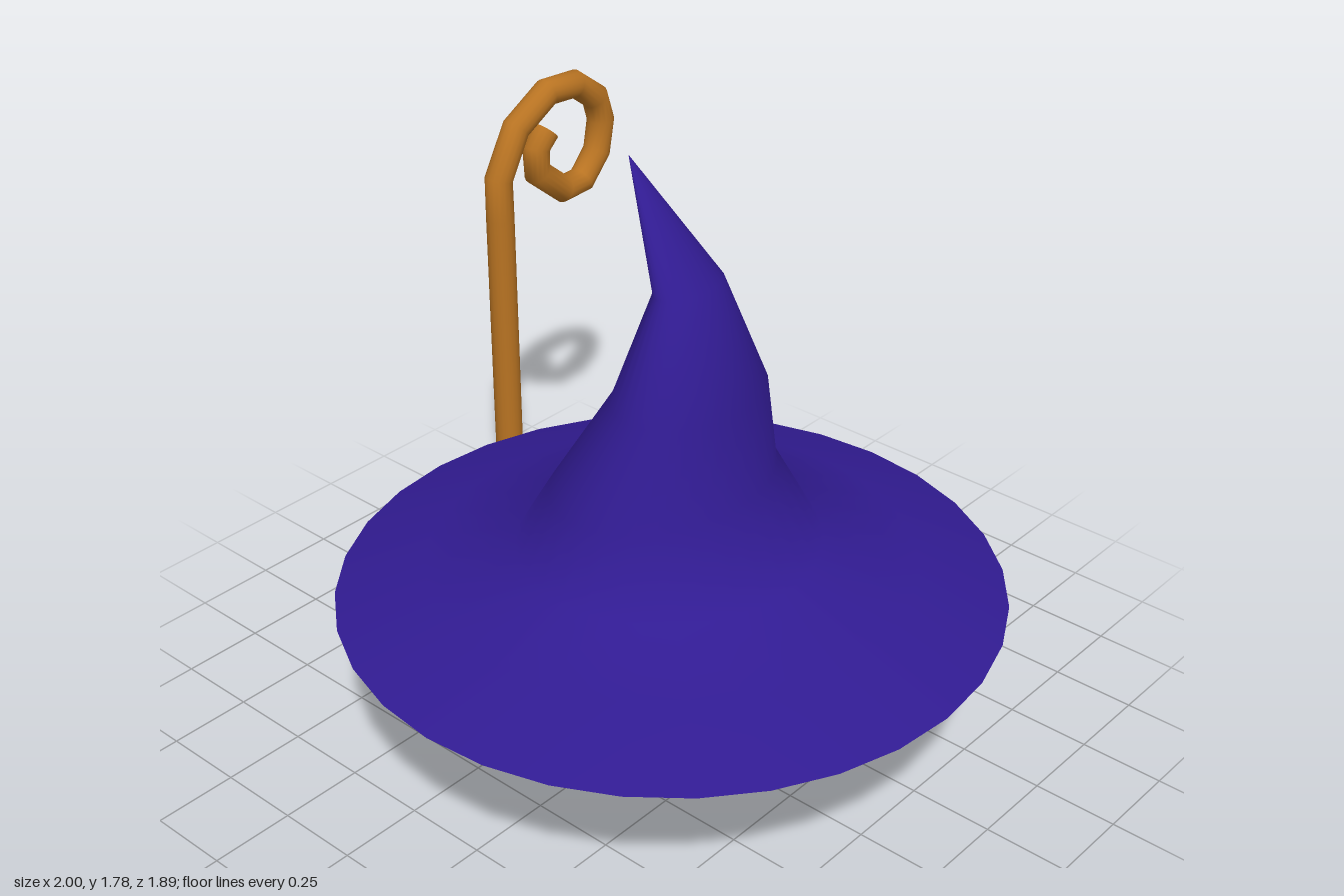
import * as THREE from 'three';

const mat = (color, side = THREE.FrontSide) => new THREE.MeshStandardMaterial({ color, side });
const CX = 0.05; // shared axis of hat and body

function mesh(name, geometry, material, x = 0, y = 0, z = 0) {
  const m = new THREE.Mesh(geometry, material);
  m.name = name;
  m.position.set(x, y, z);
  return m;
}

// Skin of elliptical rings, each [y, centreX, radiusX, radiusZ], lowest first
function ringSkin(rings, sides) {
  const pos = [], idx = [];
  rings.forEach(([y, cx, rx, rz], j) => {
    for (let i = 0; i < sides; i++) {
      const t = (i / sides) * Math.PI * 2;
      pos.push(cx + rx * Math.cos(t), y, rz * Math.sin(t));
      if (j === rings.length - 1) continue;
      const a = j * sides + i, b = j * sides + (i + 1) % sides;
      idx.push(a, a + sides, b, b, a + sides, b + sides);
    }
  });
  const g = new THREE.BufferGeometry();
  g.setAttribute('position', new THREE.Float32BufferAttribute(pos, 3));
  g.setIndex(idx);
  g.computeVertexNormals();
  return g;
}

// Curve that visits each point at an even parameter step, keeping the corners
class PolyCurve extends THREE.Curve {
  constructor(points) { super(); this.points = points; }
  getPoint(t, target = new THREE.Vector3()) {
    const n = this.points.length - 1, f = THREE.MathUtils.clamp(t, 0, 1) * n;
    const i = Math.min(Math.floor(f), n - 1);
    return target.lerpVectors(this.points[i], this.points[i + 1], f - i);
  }
  getPointAt(u, target) { return this.getPoint(u, target); }
  getTangentAt(u, target) { return this.getTangent(u, target); }
}

function makeHat() {
  const hat = new THREE.Group();
  hat.name = 'hat';
  const purple = mat(0x311b92, THREE.DoubleSide);
  // Wide brim rising into a crooked cone
  hat.add(mesh('hatCone', ringSkin([
    [0.53, CX, 0.945, 0.945],
    [0.62, CX, 0.69, 0.69],
    [0.68, 0.043, 0.42, 0.44],
    [0.88, 0.022, 0.273, 0.36],
    [1.17, 0.112, 0.183, 0.244],
    [1.48, 0.105, 0.066, 0.12],
    [1.78, -0.1, 0.001, 0.001],
  ], 32), purple));
  // Underside of the brim
  const under = [[0.4, 0.545], [0.65, 0.54], [0.89, 0.532], [0.945, 0.53]];
  hat.add(mesh('brimUnderside',
    new THREE.LatheGeometry(under.map(p => new THREE.Vector2(...p)), 32, Math.PI / 2), purple, CX));
  return hat;
}

function makeBody() {
  const body = new THREE.Group();
  body.name = 'body';
  const blue = mat(0x7394b8), dark = mat(0x1c1c1c);
  const belly = mesh('belly', new THREE.SphereGeometry(0.49, 32, 20), blue, CX, 0.47);
  belly.scale.y = 0.345 / 0.49;
  body.add(belly);
  // Square eyes lying on the curved skin
  for (const [name, turn] of [['leftEye', 0], ['rightEye', 0.36]]) {
    const eye = mesh(name, new THREE.SphereGeometry(0.497, 3, 3,
      Math.PI * 1.5 + turn - 0.09, 0.18, Math.PI / 2, 0.29), dark, CX, 0.47);
    eye.scale.y = belly.scale.y;
    body.add(eye);
  }
  // Small tapered feet
  const profile = [[0.001, 0], [0.022, 0], [0.046, 0.1], [0.034, 0.17], [0.001, 0.18]];
  for (const s of [-1, 1]) {
    const foot = mesh(s > 0 ? 'leftFoot' : 'rightFoot',
      new THREE.LatheGeometry(profile.map(p => new THREE.Vector2(...p)), 12), blue, CX + s * 0.157, 0);
    foot.rotation.z = s * 0.08;
    body.add(foot);
  }
  return body;
}

function makeStaff() {
  const staff = new THREE.Group();
  staff.name = 'staff';
  const wood = mat(0xb87322);
  const R = 0.043, SIDES = 16;
  // Straight shaft, then a spiral crook curling backwards: [z, y]
  const pts = [
    [-0.36, 0.1], [-0.36, 1.22], [-0.36, 1.345], [-0.44, 1.485], [-0.575, 1.56], [-0.695, 1.552],
    [-0.785, 1.485], [-0.81, 1.405], [-0.79, 1.305], [-0.72, 1.23], [-0.635, 1.225],
    [-0.525, 1.315], [-0.522, 1.395], [-0.565, 1.44],
  ].map(([z, y]) => new THREE.Vector3(-0.957, y, z));
  const curve = new PolyCurve(pts);
  staff.add(mesh('shaftAndCrook', new THREE.TubeGeometry(curve, pts.length - 1, R, SIDES), wood));
  // End caps
  for (const u of [0, 1]) {
    const p = curve.getPoint(u), dir = curve.getTangent(u).multiplyScalar(u ? 1 : -1);
    const cap = mesh(u ? 'crookCap' : 'shaftCap', new THREE.CircleGeometry(R, SIDES), wood, p.x, p.y, p.z);
    cap.quaternion.setFromUnitVectors(new THREE.Vector3(0, 0, 1), dir);
    staff.add(cap);
  }
  return staff;
}

export function createModel() {
  const model = new THREE.Group();
  model.name = 'hattedCreature';
  model.add(makeHat(), makeBody(), makeStaff());
  return model;
}
